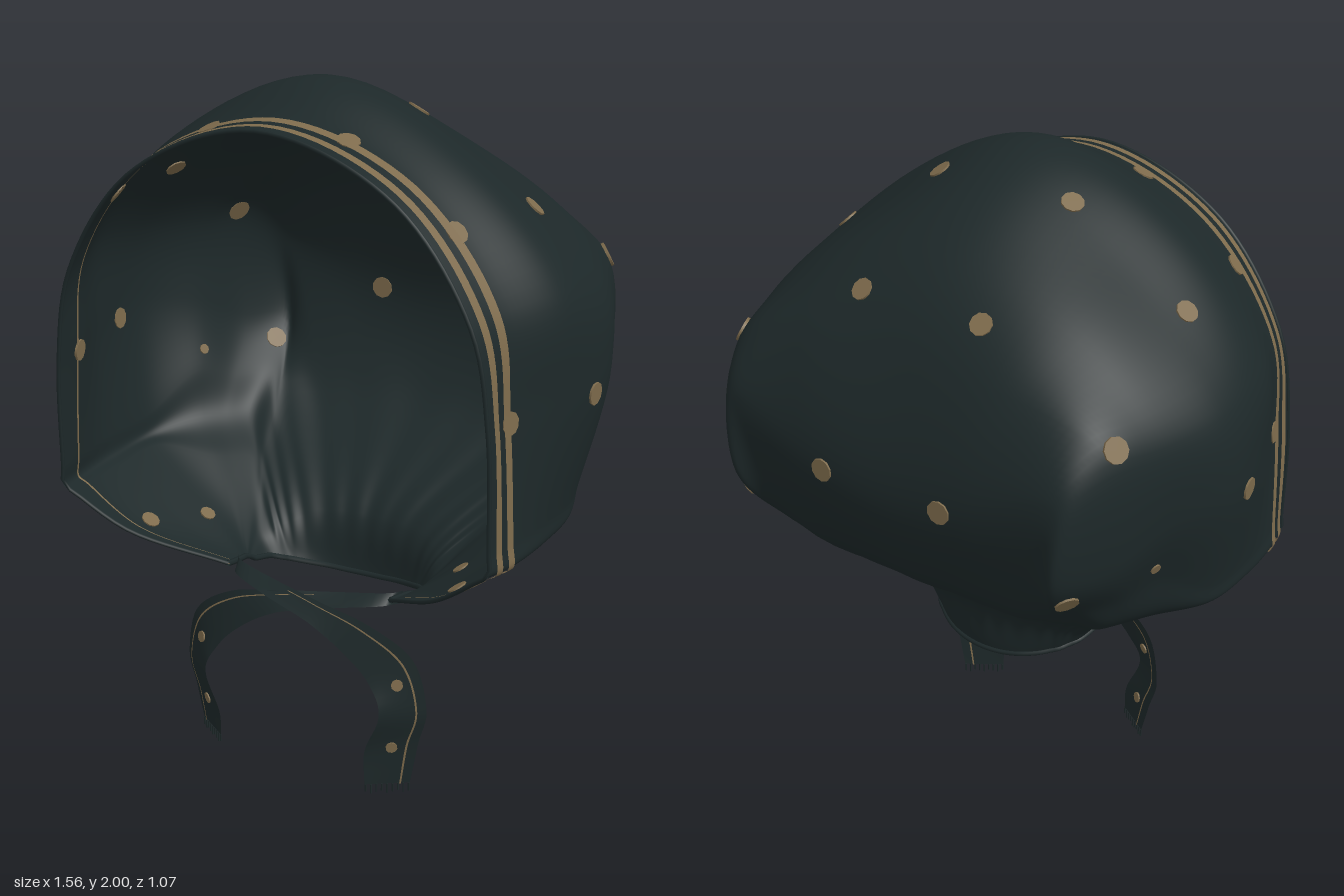
import * as THREE from 'three';

const V = (p) => new THREE.Vector3(...p);
const fabric = new THREE.MeshStandardMaterial({ color: 0x1d2829, side: THREE.DoubleSide });
fabric.name = 'dark fabric';
const gold = new THREE.MeshStandardMaterial({ color: 0x7e6b4c, side: THREE.DoubleSide });
gold.name = 'gold print';

// Half arches of the hood, each from the neck edge up to the centre line
const frontArches = [
  [[.27, .57, .29], [.5, .69, .46], [.675, .82, .525], [.665, 1.2, .53], [.61, 1.47, .53], [.39, 1.76, .53], [0, 1.9, .53]],
  [[.27, .565, .26], [.5, .68, .40], [.695, .815, .42], [.675, 1.2, .42], [.64, 1.48, .42], [.4, 1.78, .42], [0, 1.915, .42]],
  [[.272, .56, .23], [.46, .66, .28], [.71, .82, .25], [.75, 1.22, .22], [.72, 1.5, .22], [.43, 1.82, .22], [0, 2.0, .22]],
  [[.275, .555, .2], [.42, .65, .15], [.70, .83, .05], [.775, 1.24, 0], [.73, 1.48, -.02], [.42, 1.77, 0], [0, 1.95, 0]],
];
const backArches = [
  [[.28, .55, .18], [.38, .63, .09], [.62, .85, -.11], [.69, 1.2, -.22], [.67, 1.46, -.24], [.4, 1.69, -.25], [0, 1.78, -.27]],
  [[.28, .547, .17], [.36, .62, .075], [.57, .84, -.18], [.625, 1.12, -.38], [.6, 1.46, -.4], [.34, 1.56, -.42], [0, 1.56, -.425]],
  [[.28, .545, .165], [.34, .61, .05], [.52, .83, -.24], [.545, 1.1, -.51], [.53, 1.34, -.51], [.28, 1.25, -.53], [0, 1.2, -.535]],
  [[.28, .54, .155], [.32, .59, .045], [.42, .75, -.16], [.46, .91, -.38], [.37, .93, -.42], [.2, .93, -.43], [0, .93, -.44]],
  [[.278, .535, .145], [.285, .555, .055], [.27, .60, -.01], [.21, .63, -.06], [.14, .635, -.08], [.07, .64, -.09], [0, .64, -.095]],
  [[.275, .53, .14], [.26, .515, .07], [.22, .495, .02], [.17, .48, -.015], [.12, .47, -.04], [.06, .462, -.055], [0, .46, -.06]],
];
// Mirror each arch, with extra points that keep the jaw corner crisp in front and soft behind
const arches = [...frontArches, ...backArches].map((points, i) => {
  const half = points.map(V), k = i < 4 ? .15 : .4;
  half.splice(2, 1, half[2].clone().lerp(half[1], k), half[2], half[2].clone().lerp(half[3], k));
  return [...half, ...half.slice(0, -1).reverse().map((p) => new THREE.Vector3(-p.x, p.y, p.z))];
});
const LAST = arches.length - 1;
const ribs = arches[0].map((_, j) => new THREE.CatmullRomCurve3(arches.map((a) => a[j])));

// One smooth arch at position t, counted in arches from the front rim
const archAt = (t) => new THREE.CatmullRomCurve3(ribs.map((c) => c.getPoint(t / LAST)));

// Indexed surface from rows of points
function sheet(rows) {
  const n = rows[0].length, pos = [], idx = [];
  rows.forEach((r) => r.forEach((p) => pos.push(p.x, p.y, p.z)));
  for (let i = 0; i < rows.length - 1; i++) {
    for (let j = 0; j < n - 1; j++) {
      const a = i * n + j, b = a + n;
      idx.push(a, b, a + 1, b, b + 1, a + 1);
    }
  }
  const g = new THREE.BufferGeometry();
  g.setAttribute('position', new THREE.Float32BufferAttribute(pos, 3));
  g.setIndex(idx);
  g.computeVertexNormals();
  return g;
}

function add(parent, geo, mat, name) {
  const m = new THREE.Mesh(geo, mat);
  m.name = name;
  parent.add(m);
  return m;
}

// Push a sheet along its own normals (outward is positive on the hood)
function shifted(geo, d) {
  const g = geo.clone(), p = g.attributes.position, n = g.attributes.normal;
  for (let i = 0; i < p.count; i++) {
    p.setXYZ(i, p.getX(i) + n.getX(i) * d, p.getY(i) + n.getY(i) * d, p.getZ(i) + n.getZ(i) * d);
  }
  return g;
}

function hoodRows(t0, t1, steps, across) {
  return Array.from({ length: steps + 1 }, (_, i) => archAt(t0 + (t1 - t0) * i / steps).getPoints(across));
}

// Thin round spot set into the closest point of a sheet, showing on both faces
function dot(parent, geo, target, radius, name) {
  const p = geo.attributes.position, n = geo.attributes.normal, q = new THREE.Vector3();
  let best = 0, dist = Infinity;
  for (let i = 0; i < p.count; i++) {
    const d = q.fromBufferAttribute(p, i).distanceToSquared(target);
    if (d < dist) { dist = d; best = i; }
  }
  const m = add(parent, new THREE.CylinderGeometry(radius, radius, 0.009, 10), gold, name);
  m.position.fromBufferAttribute(p, best);
  m.quaternion.setFromUnitVectors(new THREE.Vector3(0, 1, 0), q.fromBufferAttribute(n, best).normalize());
}

function buildHood() {
  const hood = new THREE.Group();
  hood.name = 'hood';
  const rows = hoodRows(0, LAST, 90, 160);
  // Faint gathers where the cloth is drawn in at the nape
  rows.forEach((r, i) => {
    const t = i / 90 * LAST, k = 0.003 * Math.max(0, 1 - Math.abs(t - 7.7) / 1.1);
    r.forEach((p, j) => { p.z += k * Math.sin(j * 0.6); });
  });
  const shell = sheet(rows);
  add(hood, shell, fabric, 'hoodShell');

  // Two printed stripes along the face opening, and a fine line inside it
  [[.26, .5, .005], [.74, .98, .005], [.8, .88, -.004]].forEach(([a, b, d]) =>
    add(hood, shifted(sheet(hoodRows(a, b, 2, 160)), d), gold, 'rimStripe'));

  // Scattered spots with their radius, mirrored left and right
  const spots = [
    [.2, 1.89, .42, .032], [.53, 1.66, .42, .032], [.69, 1.2, .42, .032],
    [.21, 1.93, .05, .032], [.61, 1.7, .05, .032], [.77, 1.19, .1, .032],
    [.21, 1.69, -.34, .032], [.63, 1.47, -.36, .036], [.2, 1.23, -.53, .034],
    [.53, 1.06, -.44, .034], [.67, 1.05, -.2, .016], [.45, .62, .15, .024], [.52, .67, .34, .028],
  ];
  spots.forEach(([x, y, z, r]) => [1, -1].forEach((s) =>
    dot(hood, shell, new THREE.Vector3(s * x, y, z), r, 'spot')));

  // Rolled hems on the face opening and around the neck
  add(hood, new THREE.TubeGeometry(archAt(0), 100, 0.006, 6), fabric, 'rimHem');
  const side = arches.map((a) => a[0]);
  const mirror = side.map((p) => new THREE.Vector3(-p.x, p.y, p.z)).reverse();
  const neck = new THREE.CatmullRomCurve3([...side, ...arches[LAST].slice(1, -1), ...mirror]);
  add(hood, new THREE.TubeGeometry(neck, 80, 0.009, 6), fabric, 'neckHem');
  return hood;
}

// Ribbon centres and half-width vectors, from the neck across the chin to the tail
const tiePath = [
  [-.275, .555, .22], [-.25, .56, .27], [-.11, .545, .32], [.06, .52, .36], [.2, .47, .365],
  [.305, .385, .355], [.345, .265, .355], [.31, .15, .355], [.297, .03, .355],
].map(V);
const tieWidth = [
  [0, .02, .005], [0, .014, -.015], [.005, .014, -.025], [.01, .024, -.02], [.035, .038, -.02],
  [.055, .035, -.03], [.055, .005, -.04], [.065, .01, -.04], [.054, 0, -.037],
].map(V);

function buildTie(sign, endY, depth) {
  const tie = new THREE.Group();
  tie.name = sign > 0 ? 'leftTie' : 'rightTie';
  const centre = new THREE.CatmullRomCurve3(tiePath.map((p, i) => new THREE.Vector3(
    sign * p.x, i === tiePath.length - 1 ? endY : p.y, p.z + (i > 1 && i < 5 ? depth : 0))));
  const width = new THREE.CatmullRomCurve3(tieWidth.map((w) => new THREE.Vector3(sign * w.x, w.y, w.z)));
  const band = (a, b, n, t0) => sheet(Array.from({ length: 49 }, (_, i) => {
    const t = t0 + (1 - t0) * i / 48, c = centre.getPoint(t), w = width.getPoint(t);
    return Array.from({ length: n + 1 }, (_, j) => c.clone().addScaledVector(w, a + (b - a) * j / n));
  }));
  const cloth = band(-1, 1, 8, 0);
  add(tie, cloth, fabric, 'ribbon');

  // Fine printed line near the outer edge and a few spots
  const line = band(.52, .6, 1, .3);
  [.004, -.004].forEach((d) => add(tie, shifted(line, d), gold, 'ribbonLine'));
  [.66, .87].forEach((t) => dot(tie, cloth, centre.getPoint(t), 0.017, 'ribbonSpot'));

  // Loose threads at the cut end
  const end = centre.getPoint(1), w = width.getPoint(1);
  for (let i = 0; i < 9; i++) {
    const len = 0.022 + 0.008 * ((i * 5) % 3) / 2;
    const thread = add(tie, new THREE.BoxGeometry(0.004, len, 0.004), fabric, 'fringeThread');
    thread.position.copy(end).addScaledVector(w, -0.95 + 1.9 * i / 8);
    thread.position.y -= len / 2;
  }
  return tie;
}

export function createModel() {
  const model = new THREE.Group();
  model.name = 'bonnet';
  model.add(buildHood(), buildTie(1, .03, .006), buildTie(-1, .06, -.006));
  return model;
}
